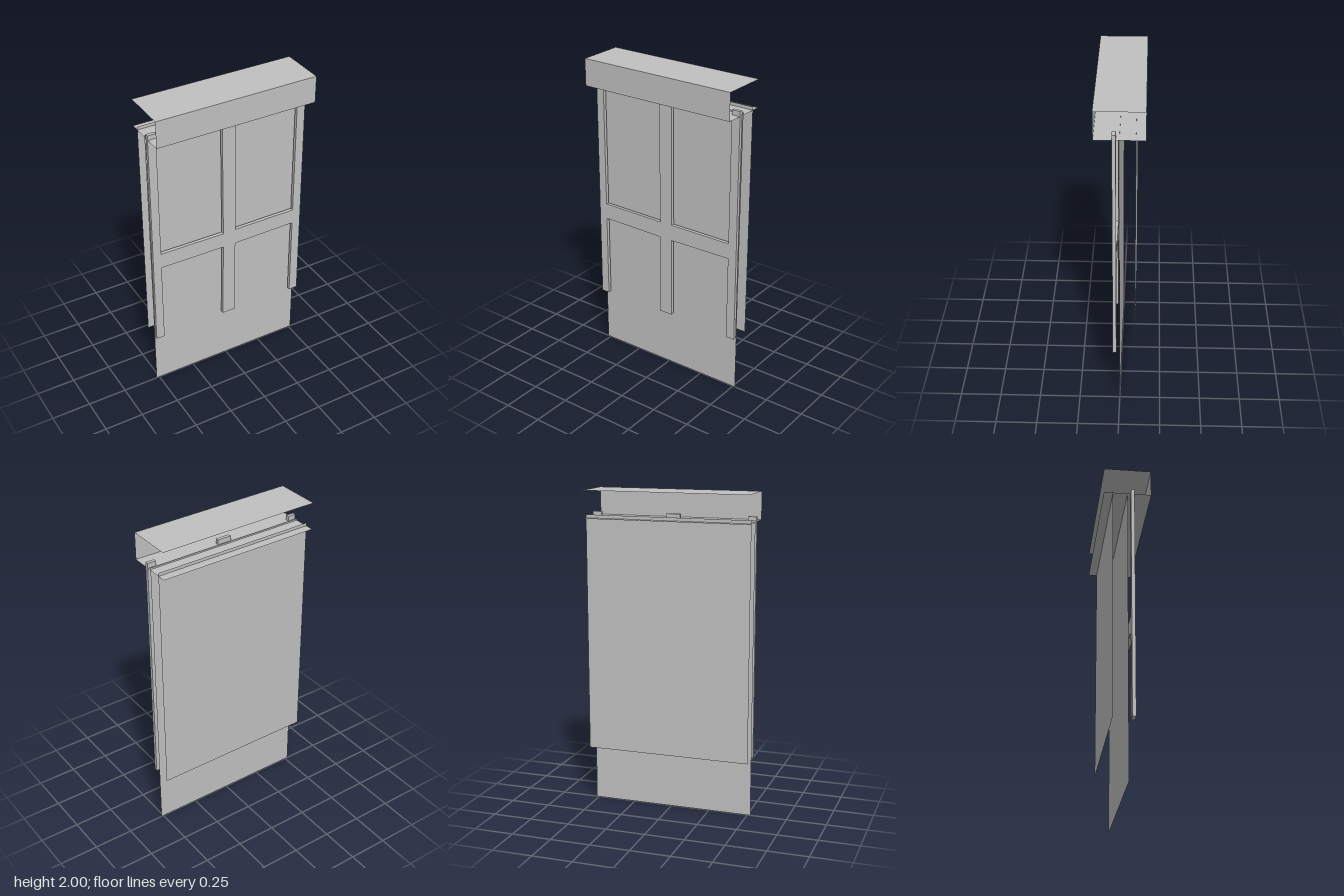
import * as THREE from 'three';

export function createModel() {
  const group = new THREE.Group();
  const grey = new THREE.MeshStandardMaterial({ color: 0xc0c0c0, side: THREE.DoubleSide });
  grey.name = 'plain grey';

  function add(name, geometry) {
    const mesh = new THREE.Mesh(geometry, grey);
    mesh.name = name;
    group.add(mesh);
    return mesh;
  }

  // Upright sheet from x0..x1 and y0..y1 at depth z
  function sheet(name, x0, x1, y0, y1, z) {
    add(name, new THREE.PlaneGeometry(x1 - x0, y1 - y0))
      .position.set((x0 + x1) / 2, (y0 + y1) / 2, z);
  }

  // Level board at height y
  function board(name, y) {
    add(name, new THREE.PlaneGeometry(1.04, 0.29).rotateX(-Math.PI / 2)).position.y = y;
  }

  // Head box, open at the back and ends
  board('headBoxTop', 2);
  board('headBoxBottom', 1.83);
  sheet('headBoxFront', -0.52, 0.52, 1.83, 2, 0.145);

  // Thin panels behind the frame
  sheet('backPanel', -0.52, 0.52, 0.365, 1.85, -0.09);
  sheet('middlePanel', -0.52, 0.515, 0.365, 1.84, 0);
  sheet('lowerPanel', -0.52, 0.515, 0, 0.365, 0);

  // Frame: three uprights joined by one rail, open above and below
  const outline = [
    [-0.525, 0.375], [-0.47, 0.375], [-0.47, 0.92], [-0.04, 0.915],
    [-0.045, 0.385], [0.045, 0.385], [0.045, 0.915], [0.465, 0.92],
    [0.465, 0.375], [0.523, 0.375], [0.52, 1.86], [0.465, 1.86],
    [0.465, 1.02], [0.047, 1.02], [0.043, 1.86], [-0.047, 1.86],
    [-0.04, 1.018], [-0.47, 1.022], [-0.47, 1.86], [-0.522, 1.86],
  ];
  const shape = new THREE.Shape(outline.map(([x, y]) => new THREE.Vector2(x, y)));
  add('frame', new THREE.ExtrudeGeometry(shape, { depth: 0.022, bevelEnabled: false }))
    .position.z = 0.02;

  return group;
}
